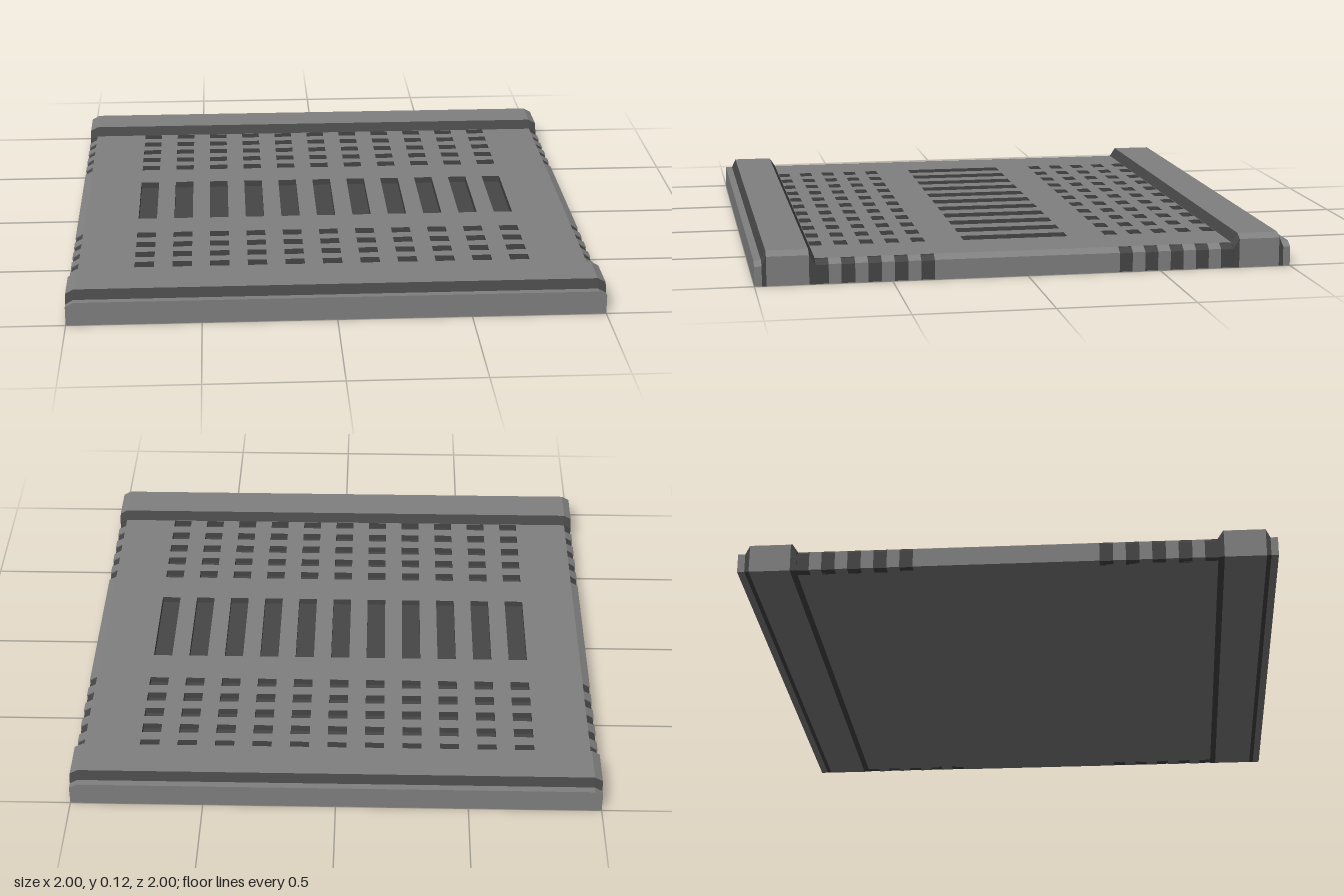
import * as THREE from 'three';

const grey = new THREE.MeshStandardMaterial({ color: 0x808080 });
const dark = new THREE.MeshStandardMaterial({ color: 0x464646 });

const HALF = 0.97;   // flat half width, the chamfered edge runs from here to 1
const TOP = 0.09;    // deck height
const RIDGE = 0.125; // raised bar height
const FLOOR = 0.065; // bottom of the pits
const CHAMFER = 0.017;
const rows = [0.37, 0.467, 0.564, 0.661, 0.757];

// closed polygon from [x, y] pairs
const polygon = (points) => new THREE.Shape(points.map(([x, y]) => new THREE.Vector2(x, y)));
const rect = (x0, y0, x1, y1) => [[x0, y0], [x1, y0], [x1, y1], [x0, y1]];

// full-width section with chamfered top corners, and the edge-only section
const fullSection = (h) => [[-1, 0], [1, 0], [1, h - CHAMFER], [HALF, h], [-HALF, h], [-1, h - CHAMFER]];
const edgeSection = (h, x = 1) => [[HALF - 0.01, 0], [x, 0], [x, h - CHAMFER], [HALF, h], [HALF - 0.01, h]];

// section swept from z0 to z1, its top rising from h0 to h1
function sweep(name, section, z0, z1, material, h1) {
  const geometry = new THREE.ExtrudeGeometry(polygon(section), { depth: z1 - z0, bevelEnabled: false });
  const p = geometry.attributes.position;
  if (h1 !== undefined) {
    const rise = h1 - Math.max(...section.map(([, y]) => y));
    for (let i = 0; i < p.count; i++) {
      if (p.getZ(i) > 1e-4 && p.getY(i) > 0.01) p.setY(i, p.getY(i) + rise);
    }
  }
  geometry.translate(0, 0, z0);
  geometry.computeVertexNormals();
  const mesh = new THREE.Mesh(geometry, material);
  mesh.name = name;
  return mesh;
}

// raised bar between two dark sloping strips, with a low lip outside
function createEndBar() {
  const bar = new THREE.Group();
  bar.add(
    sweep('innerStrip', fullSection(TOP), 0.78, 0.803, dark, RIDGE),
    sweep('raisedBar', fullSection(RIDGE), 0.803, 0.957, grey),
    sweep('outerStrip', fullSection(RIDGE), 0.957, 0.973, dark, TOP),
    sweep('lip', fullSection(TOP), 0.973, 1, grey),
  );
  return bar;
}

// side edge split by dark notches
function createSideEdge() {
  const edge = new THREE.Group();
  const centres = [...rows.map((z) => -z).reverse(), ...rows];
  let start = -0.78;
  for (const z of centres) {
    const a = Math.max(z - 0.025, -0.78);
    const b = Math.min(z + 0.025, 0.78);
    if (a - start > 1e-3) edge.add(sweep('edgeBlock', edgeSection(TOP), start, a, grey));
    edge.add(sweep('edgeNotch', edgeSection(TOP - 0.003, 0.996), a, b, dark));
    start = b;
  }
  return edge;
}

// deck plate with rows of pits, lying on a solid base with a dark top
function createDeck() {
  const deck = new THREE.Group();
  const shape = polygon(rect(-HALF, -0.78, HALF, 0.78));
  for (let i = -5; i <= 5; i++) {
    const x = i * 0.1438;
    const pit = (z0, z1) => shape.holes.push(polygon(rect(x - 0.037, z0, x + 0.037, z1)));
    pit(-0.2, 0.2);
    for (const z of rows) {
      const outer = Math.min(z + 0.025, 0.778);
      pit(z - 0.025, outer);
      pit(-outer, 0.025 - z);
    }
  }
  const plateGeometry = new THREE.ExtrudeGeometry(shape, { depth: TOP - FLOOR, bevelEnabled: false });
  plateGeometry.rotateX(-Math.PI / 2).translate(0, FLOOR, 0);
  const plate = new THREE.Mesh(plateGeometry, [grey, dark]);
  plate.name = 'deckPlate';

  const base = new THREE.Mesh(
    new THREE.BoxGeometry(2 * HALF, FLOOR, 1.56).translate(0, FLOOR / 2, 0),
    [grey, grey, dark, grey, grey, grey],
  );
  base.name = 'deckBase';
  deck.add(plate, base);
  return deck;
}

export function createModel() {
  const model = new THREE.Group();
  model.name = 'slottedPanel';
  const deck = createDeck();
  deck.name = 'deck';
  model.add(deck);

  // both ends and both sides are the same part turned half round
  for (const [angle, end, side] of [[0, 'front', 'left'], [Math.PI, 'back', 'right']]) {
    const bar = createEndBar();
    bar.name = `${end}Bar`;
    bar.rotation.y = angle;
    const edge = createSideEdge();
    edge.name = `${side}Edge`;
    edge.rotation.y = angle;
    model.add(bar, edge);
  }
  return model;
}
